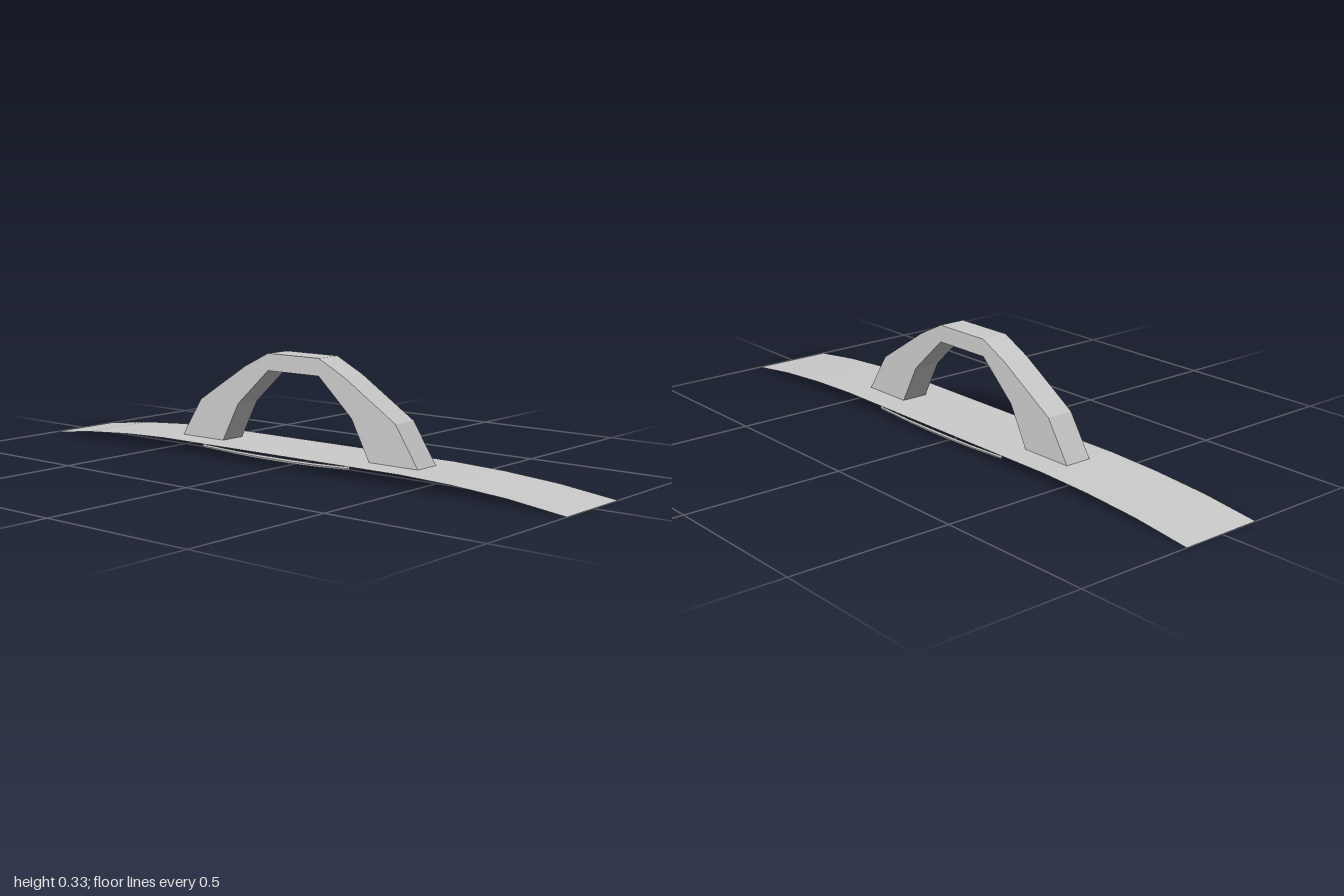
import * as THREE from 'three';

const mat = new THREE.MeshStandardMaterial({ color: 0xcccccc, flatShading: true, side: THREE.DoubleSide });

// Joins corner points, four at a time, into a surface
function quads(name, corners) {
  const pos = [];
  for (let i = 0; i < corners.length; i += 4) {
    for (const k of [0, 1, 2, 0, 2, 3]) pos.push(...corners[i + k]);
  }
  const geo = new THREE.BufferGeometry();
  geo.setAttribute('position', new THREE.Float32BufferAttribute(pos, 3));
  geo.computeVertexNormals();
  const mesh = new THREE.Mesh(geo, mat);
  mesh.name = name;
  return mesh;
}

// Mirrors a half profile, running outside to centre, across x = 0
const mirror = (half) => [...half, ...half.slice().reverse().map(([x, ...rest]) => [-x, ...rest])];

// Thin bowed base strip, open beneath the two handle feet
function basePlate() {
  const profile = mirror([[-1, 0], [-0.82, 0.022], [-0.64, 0.035], [-0.465, 0.041], [-0.29, 0.041]]);
  const rows = [-0.133, -0.044, 0.044, 0.133];
  const c = [];
  for (let i = 0; i < profile.length - 1; i++) {
    const [x0, y0] = profile[i], [x1, y1] = profile[i + 1];
    const underFoot = Math.abs(Math.abs(x0 + x1) / 2 - 0.3775) < 0.01;
    for (let j = 0; j < 3; j++) {
      if (underFoot && j === 1) continue;
      c.push([x0, y0, rows[j]], [x0, y0, rows[j + 1]], [x1, y1, rows[j + 1]], [x1, y1, rows[j]]);
    }
  }
  return quads('basePlate', c);
}

// Hollow arched handle: each station pairs an outer point with an inner one
function handle() {
  const w = 0.044;
  const stations = mirror([[-0.465, 0.041], [-0.385, 0.163], [-0.195, 0.283], [-0.1, 0.33]]);
  const inner = mirror([[-0.29, 0.041], [-0.225, 0.163], [-0.165, 0.218], [-0.1, 0.277]]);
  const loops = stations.map(([x, y], i) => {
    const [u, v] = inner[i];
    return [[x, y, -w], [x, y, w], [u, v, w], [u, v, -w]];
  });
  const c = [];
  for (let i = 0; i < loops.length - 1; i++) {
    for (let k = 0; k < 4; k++) {
      const n = (k + 1) % 4;
      c.push(loops[i][k], loops[i][n], loops[i + 1][n], loops[i + 1][k]);
    }
  }
  return quads('handle', c);
}

// Shallow lip hanging from a long edge of the plate, slightly bulged outwards
function edgeLip(side) {
  const z = 0.133 * side, bulge = 0.135 * side;
  const profile = mirror([[-0.29, 0.041, 0.031], [-0.15, 0.036, 0.025], [-0.05, 0.035, 0.023]]);
  const lines = profile.map(([x, top, low]) => [[x, top, z], [x, (top + low) / 2, bulge], [x, low, z]]);
  const c = [];
  for (let i = 0; i < lines.length - 1; i++) {
    for (let k = 0; k < 2; k++) {
      const q = [lines[i][k], lines[i][k + 1], lines[i + 1][k + 1], lines[i + 1][k]];
      c.push(...(side > 0 ? q : q.reverse()));
    }
  }
  return quads(side > 0 ? 'frontLip' : 'backLip', c);
}

export function createModel() {
  const model = new THREE.Group();
  model.name = 'pullHandle';
  model.add(basePlate(), handle(), edgeLip(1), edgeLip(-1));
  return model;
}
